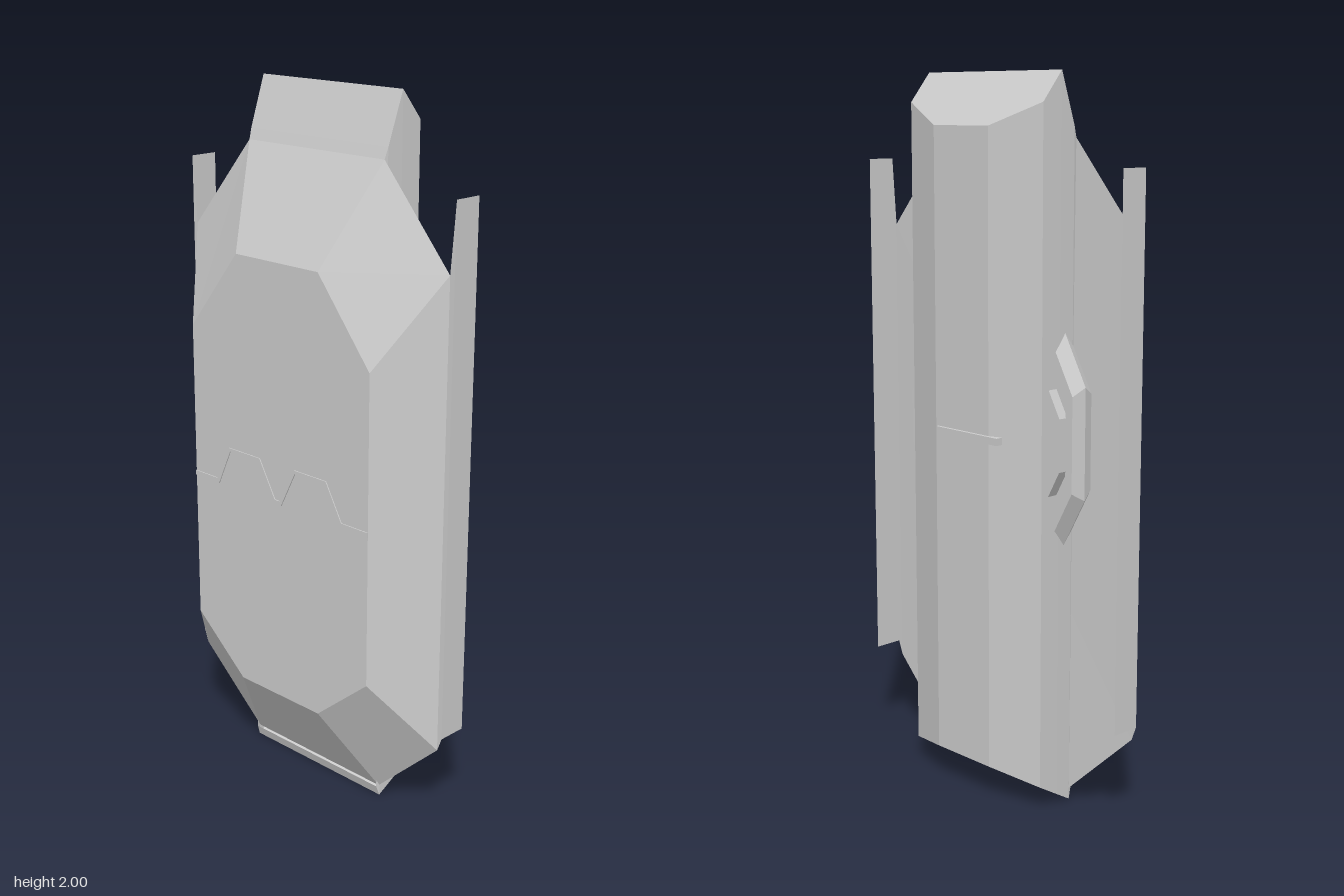
import * as THREE from 'three';

const material = new THREE.MeshStandardMaterial({ color: 0xcccccc, flatShading: true, side: THREE.DoubleSide });

// Collects flat polygons (corners counter-clockwise) into one geometry.
function facets(polygons) {
  const pos = [];
  for (const p of polygons)
    for (let i = 1; i < p.length - 1; i++) pos.push(...p[0], ...p[i], ...p[i + 1]);
  const g = new THREE.BufferGeometry();
  g.setAttribute('position', new THREE.Float32BufferAttribute(pos, 3));
  g.computeVertexNormals();
  return g;
}

export function createModel() {
  const model = new THREE.Group();
  const add = (name, geometry, x = 0, y = 0, z = 0) => {
    const mesh = new THREE.Mesh(geometry, material);
    mesh.name = name;
    mesh.position.set(x, y, z);
    model.add(mesh);
    return mesh;
  };

  // Front shell: eight-sided bevel from a wide rim to a raised flat face
  const mirrorLoop = (half) => [...half, ...half.map(([x, y, z]) => [-x, y, z]).reverse()];
  const rim = mirrorLoop([[0.25, 0.03, 0.01], [0.475, 0.24, 0.02], [0.475, 1.57, 0.02], [0.25, 1.83, 0.02]]);
  const face = mirrorLoop([[0.155, 0.285, 0.163], [0.34, 0.44, 0.163], [0.34, 1.32, 0.163], [0.155, 1.55, 0.163]]);
  const shell = [face];
  rim.forEach((p, i) => {
    const j = (i + 1) % rim.length;
    shell.push([p, rim[j], face[j], face[i]], [rim[j], p, [0, 0.9, 0.005]]);
  });
  add('frontShell', facets(shell));

  // Central core: columns from front to back, [half width, z, bottom, top]
  const columns = [
    [0.25, 0.02, 0.03, 1.83], [0.253, 0.01, 0, 1.86], [0.255, -0.04, 0.03, 2],
    [0.255, -0.107, 0.07, 1.92], [0.105, -0.158, 0.1, 1.86],
  ];
  const core = [];
  const corner = ([x, z, bottom, top], side, up) => [side * x, up ? top : bottom, z];
  for (let i = 0; i < columns.length - 1; i++) {
    const a = columns[i], b = columns[i + 1];
    core.push(
      [corner(a, 1, 0), corner(b, 1, 0), corner(b, 1, 1), corner(a, 1, 1)],
      [corner(a, -1, 1), corner(b, -1, 1), corner(b, -1, 0), corner(a, -1, 0)],
      [corner(a, 1, 1), corner(b, 1, 1), corner(b, -1, 1), corner(a, -1, 1)],
      [corner(a, -1, 0), corner(b, -1, 0), corner(b, 1, 0), corner(a, 1, 0)],
    );
  }
  const back = columns[columns.length - 1];
  core.push([corner(back, 1, 0), corner(back, -1, 0), corner(back, -1, 1), corner(back, 1, 1)]);
  add('core', facets(core));

  for (const side of [1, -1]) {
    const prefix = side > 0 ? 'left' : 'right';

    // Thin side fin, joined to the rim by a narrow web
    const s = side * 0.49, r = side * 0.475;
    add(prefix + 'Fin', facets([
      [[s, 0.28, 0.02], [s, 0.28, -0.065], [s, 1.76, -0.065], [s, 1.76, 0.02]],
      [[r, 0.24, 0.02], [s, 0.28, 0.02], [s, 1.76, 0.02], [r, 1.57, 0.02]],
    ]));

    // Stretched six-sided ring with a button in its middle
    const ring = new THREE.TorusGeometry(0.06, 0.025, 6, 6).rotateZ(Math.PI / 2).scale(1.15, 3.6, 1.7);
    add(prefix + 'Ring', ring, side * 0.245, 1.035, -0.02);
    const button = new THREE.CylinderGeometry(0.04, 0.04, 0.09, 6).rotateX(Math.PI / 2).scale(1.15, 3.6, 1);
    add(prefix + 'Button', button, side * 0.255, 1.035, -0.037);
  }

  // Small bar across the back
  add('backBar', new THREE.BoxGeometry(0.24, 0.02, 0.02), -0.025, 1.035, -0.157);

  // Zigzag ridge across the front face: upper line, then the lower edge back
  const upper = [[-0.34, 0.887], [-0.248, 0.887], [-0.195, 0.99], [-0.07, 0.99], [-0.01, 0.885],
    [0.01, 0.885], [0.065, 0.99], [0.187, 0.99], [0.245, 0.887], [0.34, 0.887]];
  const lower = [[0.34, 0.873], [0.238, 0.873], [0.181, 0.981], [0.07, 0.981], [0.015, 0.873],
    [-0.015, 0.873], [-0.075, 0.981], [-0.19, 0.981], [-0.24, 0.873], [-0.34, 0.873]];
  const outline = new THREE.Shape([...upper, ...lower].map(([x, y]) => new THREE.Vector2(x, y)));
  add('frontRidge', new THREE.ExtrudeGeometry(outline, { depth: 0.006, bevelEnabled: false }), 0, 0, 0.16);

  return model;
}
